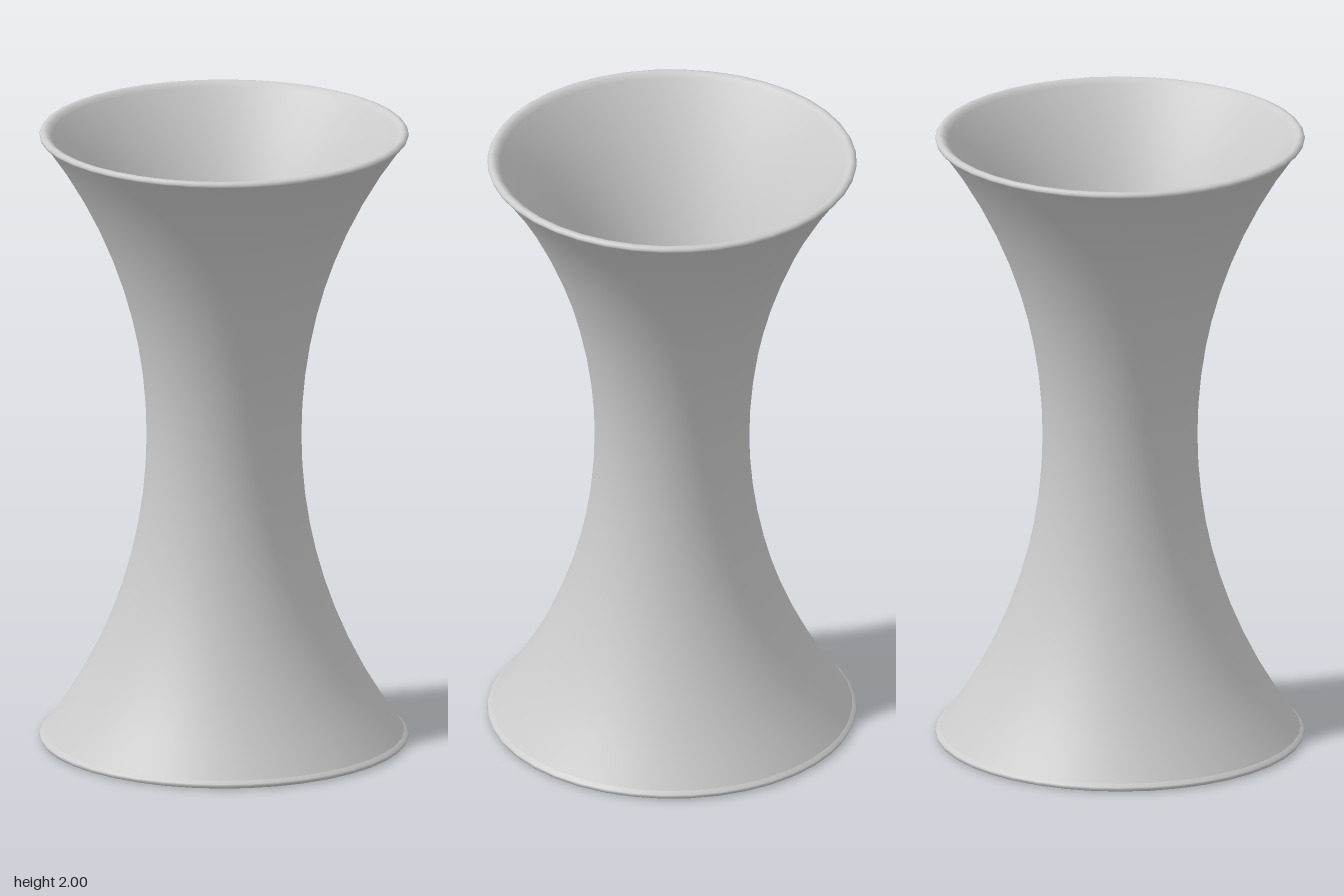
import * as THREE from 'three';

const WAIST = 0.245, WALL = 0.027, BEND = 1.62; // waist radius, wall thickness, flare radius
const SIDES = 40;

// Radius of a wall surface at a height measured from the waist
const flare = (h, inset) => WAIST + BEND - Math.sqrt((BEND + inset) ** 2 - h * h);

function wallProfile() {
  const points = [], steps = 20;
  const add = (r, h) => points.push(new THREE.Vector2(r, h + 1));
  // Outer face, bottom to top
  for (let i = 0; i <= steps; i++) {
    const h = -0.975 + 1.95 * i / steps;
    add(flare(h, 0), h);
  }
  // Rounded top rim
  const rim = [[0.583, 0.984], [0.585, 0.99], [0.581, 0.997], [0.573, 1], [0.566, 1], [0.558, 0.996]];
  rim.forEach(([r, h]) => add(r, h));
  // Inner face, top to bottom
  for (let i = 0; i <= steps; i++) {
    const h = 0.985 - 1.97 * i / steps;
    add(flare(h, WALL), h);
  }
  // Rounded bottom rim, closing the loop
  rim.slice().reverse().forEach(([r, h]) => add(r, -h));
  points.push(points[0].clone());
  return points;
}

function circlePath(x, y, r, sides) {
  const pts = [];
  for (let i = 0; i < sides; i++) {
    const a = 2 * Math.PI * i / sides;
    pts.push(new THREE.Vector2(x + r * Math.cos(a), y + r * Math.sin(a)));
  }
  return pts;
}

// Perforated disc with two long slots
function screenGeometry() {
  const radius = 0.225, pitch = 0.021, hole = 0.0062, thickness = 0.02;
  const slotX = 0.06, slotW = 0.044, slotL = 0.204;
  const shape = new THREE.Shape(circlePath(0, 0, radius, SIDES));
  for (const s of [-1, 1]) {
    const x0 = s * slotX - slotW / 2, x1 = s * slotX + slotW / 2, z = slotL / 2;
    shape.holes.push(new THREE.Path([
      new THREE.Vector2(x0, -z), new THREE.Vector2(x1, -z),
      new THREE.Vector2(x1, z), new THREE.Vector2(x0, z),
    ]));
  }
  for (let i = -10; i <= 10; i++) {
    for (let j = -10; j <= 10; j++) {
      const x = i * pitch, y = j * pitch;
      if (Math.hypot(x, y) > 0.211) continue;
      const inSlot = Math.abs(Math.abs(x) - slotX) < slotW / 2 + hole + 0.001
        && Math.abs(y) < slotL / 2 + hole + 0.001;
      if (!inSlot) shape.holes.push(new THREE.Path(circlePath(x, y, hole, 8)));
    }
  }
  const geo = new THREE.ExtrudeGeometry(shape, { depth: thickness, bevelEnabled: false });
  geo.translate(0, 0, -thickness / 2);
  geo.rotateX(-Math.PI / 2);
  return geo;
}

export function createModel() {
  const group = new THREE.Group();
  group.name = 'doubleFlaredStand';
  const material = new THREE.MeshStandardMaterial({ color: 0xcccccc });

  // Hollow hourglass wall
  const wall = new THREE.Mesh(new THREE.LatheGeometry(wallProfile(), SIDES), material);
  wall.name = 'flaredWall';
  group.add(wall);

  // Screen across the waist
  const screen = new THREE.Mesh(screenGeometry(), material);
  screen.name = 'perforatedScreen';
  screen.position.y = 1;
  group.add(screen);

  return group;
}
